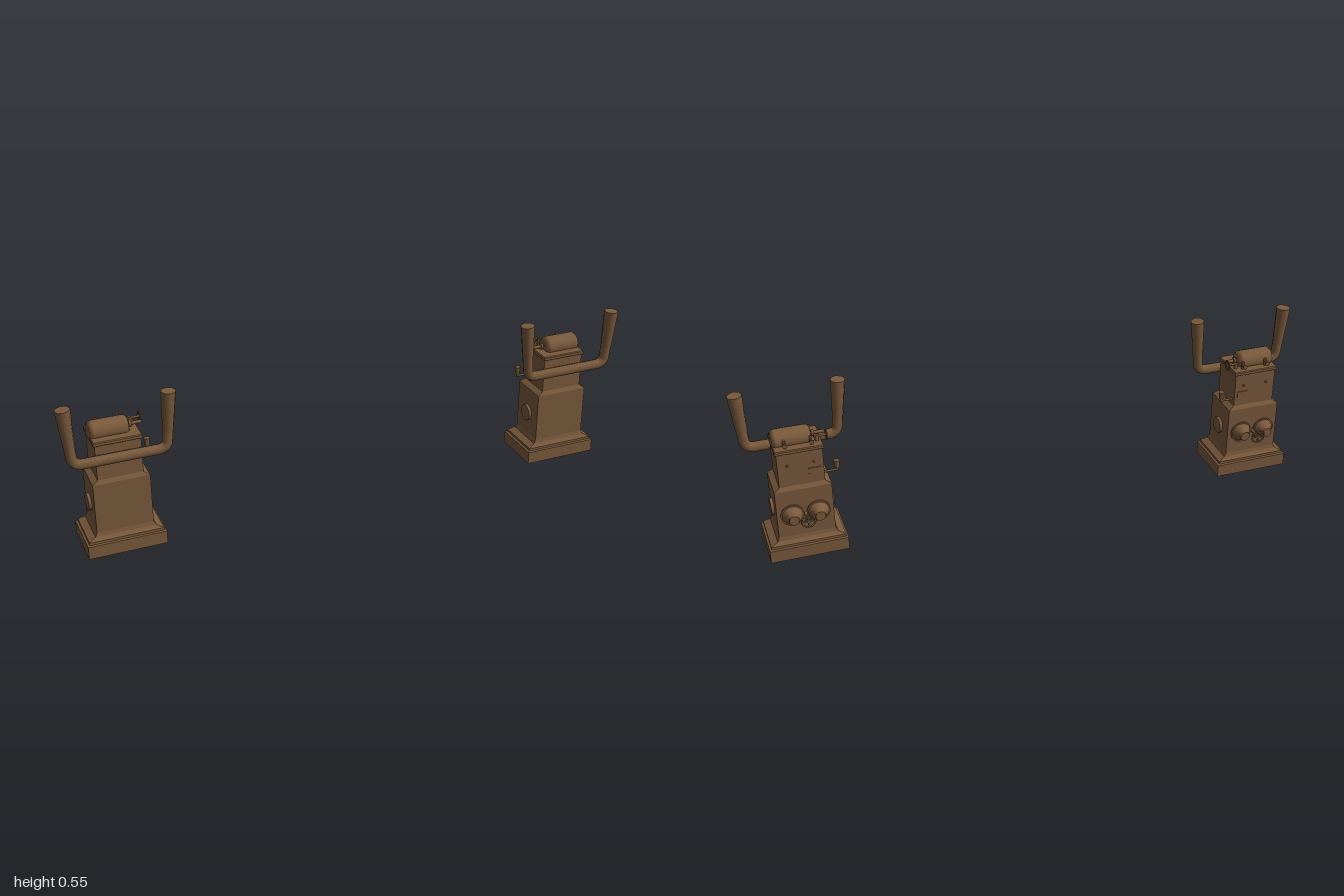
import * as THREE from 'three';

const bronze = new THREE.MeshStandardMaterial({ color: 0x7a5a3c, side: THREE.DoubleSide });
bronze.name = 'bronze brown';
const bronzeFlat = bronze; // one colour for everything

function add(parent, name, geo, x = 0, y = 0, z = 0) {
  const m = new THREE.Mesh(geo, bronzeFlat);
  m.name = name;
  m.position.set(x, y, z);
  parent.add(m);
  return m;
}

// Flat-shaded loft through centred rectangles [halfX, halfZ, y]
function rectLoft(rings, capTop) {
  const pos = [];
  const corner = (r, i) => {
    const sx = [1, 1, -1, -1][i % 4], sz = [1, -1, -1, 1][i % 4];
    return [r[0] * sx, r[2], r[1] * sz];
  };
  for (let k = 0; k < rings.length - 1; k++) {
    for (let i = 0; i < 4; i++) {
      const a = corner(rings[k], i), b = corner(rings[k], i + 1);
      const c = corner(rings[k + 1], i + 1), d = corner(rings[k + 1], i);
      pos.push(...a, ...b, ...c, ...a, ...c, ...d);
    }
  }
  if (capTop) {
    const [a, b, c, d] = [0, 1, 2, 3].map(i => corner(rings[rings.length - 1], i));
    pos.push(...a, ...b, ...c, ...a, ...c, ...d);
  }
  const g = new THREE.BufferGeometry();
  g.setAttribute('position', new THREE.Float32BufferAttribute(pos, 3));
  g.computeVertexNormals();
  return g;
}

// Cylinders along the x axis and along -z (r0 at the front end, r1 at the back end)
const cylX = (r, len, n = 12) => new THREE.CylinderGeometry(r, r, len, n).rotateZ(Math.PI / 2);
const cylZ = (r0, r1, len, n = 12) => new THREE.CylinderGeometry(r1, r0, len, n).rotateX(-Math.PI / 2);

// Small spoked handwheel in the xy plane
function handwheel(name, r, tube) {
  const g = new THREE.Group();
  g.name = name;
  add(g, 'wheelRim', new THREE.TorusGeometry(r, tube, 6, 16));
  for (let i = 0; i < 2; i++) {
    add(g, 'wheelSpoke', new THREE.BoxGeometry(r * 2, tube * 1.6, tube * 1.6)).rotation.z = i * Math.PI / 2;
  }
  add(g, 'wheelHub', cylZ(tube * 2, tube * 2, tube * 3, 8));
  return g;
}

// One pedestal; s is the direction of its outer side along x
function pedestal(s) {
  const g = new THREE.Group();
  g.name = s > 0 ? 'leftPedestal' : 'rightPedestal';

  // Plinth, flare, body, shoulder and column, hollow below
  add(g, 'pedestalBody', rectLoft([
    [0.112, 0.071, 0.045], [0.112, 0.071, 0], [0.131, 0.09, 0], [0.131, 0.09, 0.045],
    [0.124, 0.083, 0.047], [0.124, 0.083, 0.056], [0.117, 0.078, 0.059], [0.101, 0.072, 0.067],
    [0.094, 0.069, 0.08], [0.094, 0.069, 0.254], [0.075, 0.0615, 0.267], [0.075, 0.0615, 0.39],
  ], true));
  add(g, 'topCap', rectLoft([
    [0.075, 0.0615, 0.387], [0.08, 0.066, 0.39], [0.08, 0.066, 0.399], [0.077, 0.063, 0.402],
  ], true));

  // Round covers on both sides
  for (const k of [-1, 1]) add(g, 'sideCover', cylX(0.029, 0.012, 24), k * 0.098, 0.161, 0);

  // Handlebar with two tapered upright grips, in front of the column
  const path = new THREE.CurvePath();
  const P = (x, y) => new THREE.Vector3(x, y, 0.084);
  path.add(new THREE.LineCurve3(P(-0.157, 0.41), P(-0.154, 0.376)));
  path.add(new THREE.QuadraticBezierCurve3(P(-0.154, 0.376), P(-0.152, 0.352), P(-0.126, 0.349)));
  path.add(new THREE.LineCurve3(P(-0.126, 0.349), P(0.126, 0.349)));
  path.add(new THREE.QuadraticBezierCurve3(P(0.126, 0.349), P(0.152, 0.352), P(0.154, 0.376)));
  path.add(new THREE.LineCurve3(P(0.154, 0.376), P(0.157, 0.41)));
  add(g, 'handlebar', new THREE.TubeGeometry(path, 48, 0.018, 8));
  for (const k of [-1, 1]) {
    const grip = add(g, 'grip', new THREE.CylinderGeometry(0.025, 0.018, 0.143, 8), k * 0.162, 0.476, 0.084);
    grip.rotation.z = -k * 0.07;
  }

  // Drum lying on the cap, chamfered ends
  const drum = [[0, -0.064], [0.027, -0.064], [0.035, -0.055], [0.036, -0.05],
    [0.036, 0.05], [0.035, 0.055], [0.027, 0.064], [0, 0.064]].map(p => new THREE.Vector2(...p));
  add(g, 'drum', new THREE.LatheGeometry(drum, 14).rotateZ(Math.PI / 2), s * 0.016, 0.412, 0);

  // Shaft and small wheel on the inner end of the drum
  add(g, 'drumShaft', cylX(0.006, 0.05, 8), -s * 0.07, 0.415, 0);
  add(g, 'shaftCollar', cylX(0.011, 0.008, 10), -s * 0.056, 0.415, 0);
  const valve = handwheel('drumWheel', 0.016, 0.0025);
  valve.rotation.y = Math.PI / 2;
  valve.position.set(-s * 0.096, 0.418, -0.03);
  g.add(valve);
  add(g, 'valveStem', cylX(0.004, 0.045, 8), -s * 0.077, 0.418, -0.03);
  add(g, 'valvePost', new THREE.CylinderGeometry(0.006, 0.007, 0.022, 8), -s * 0.064, 0.411, -0.03);

  // Posts with knobs along the rear edge of the cap
  for (const x of [-0.043, 0.043]) {
    add(g, 'rearPost', new THREE.CylinderGeometry(0.005, 0.005, 0.026, 8), x, 0.415, -0.042);
    add(g, 'knobStem', cylZ(0.003, 0.003, 0.02, 8), x, 0.417, -0.052);
    add(g, 'knob', cylZ(0.008, 0.008, 0.003, 10), x, 0.417, -0.061);
    add(g, 'rearStud', cylZ(0.005, 0.004, 0.006, 8), x, 0.345, -0.063);
  }
  add(g, 'rearPlate', new THREE.BoxGeometry(0.04, 0.022, 0.004), -s * 0.045, 0.312, -0.0625);

  // Crank on the inner rear edge with an upright cup
  add(g, 'crankArm', cylX(0.004, 0.05, 8), -s * 0.096, 0.29, -0.047);
  add(g, 'crankStem', new THREE.CylinderGeometry(0.004, 0.004, 0.018, 8), -s * 0.119, 0.297, -0.047);
  add(g, 'crankCup', new THREE.CylinderGeometry(0.01, 0.008, 0.026, 10), -s * 0.119, 0.312, -0.047);

  // Twin cones on the back with a handwheel between them
  for (const x of [-0.043, 0.043]) {
    add(g, 'coneFlange', cylZ(0.039, 0.039, 0.006, 20), x, 0.161, -0.071);
    add(g, 'cone', cylZ(0.035, 0.015, 0.03, 20), x, 0.161, -0.088);
    add(g, 'coneTip', cylZ(0.017, 0.017, 0.005, 12), x, 0.161, -0.105);
  }
  add(g, 'wheelStem', cylZ(0.005, 0.005, 0.054, 8), 0, 0.161, -0.094);
  add(g, 'stemCollar', cylZ(0.01, 0.01, 0.008, 8), 0, 0.161, -0.108);
  const wheel = handwheel('rearWheel', 0.023, 0.003);
  wheel.position.set(0, 0.161, -0.121);
  g.add(wheel);

  g.position.set(s * 0.805, 0, 0.008);
  return g;
}

export function createModel() {
  const model = new THREE.Group();
  model.name = 'twinPedestals';
  model.add(pedestal(1), pedestal(-1));
  return model;
}
